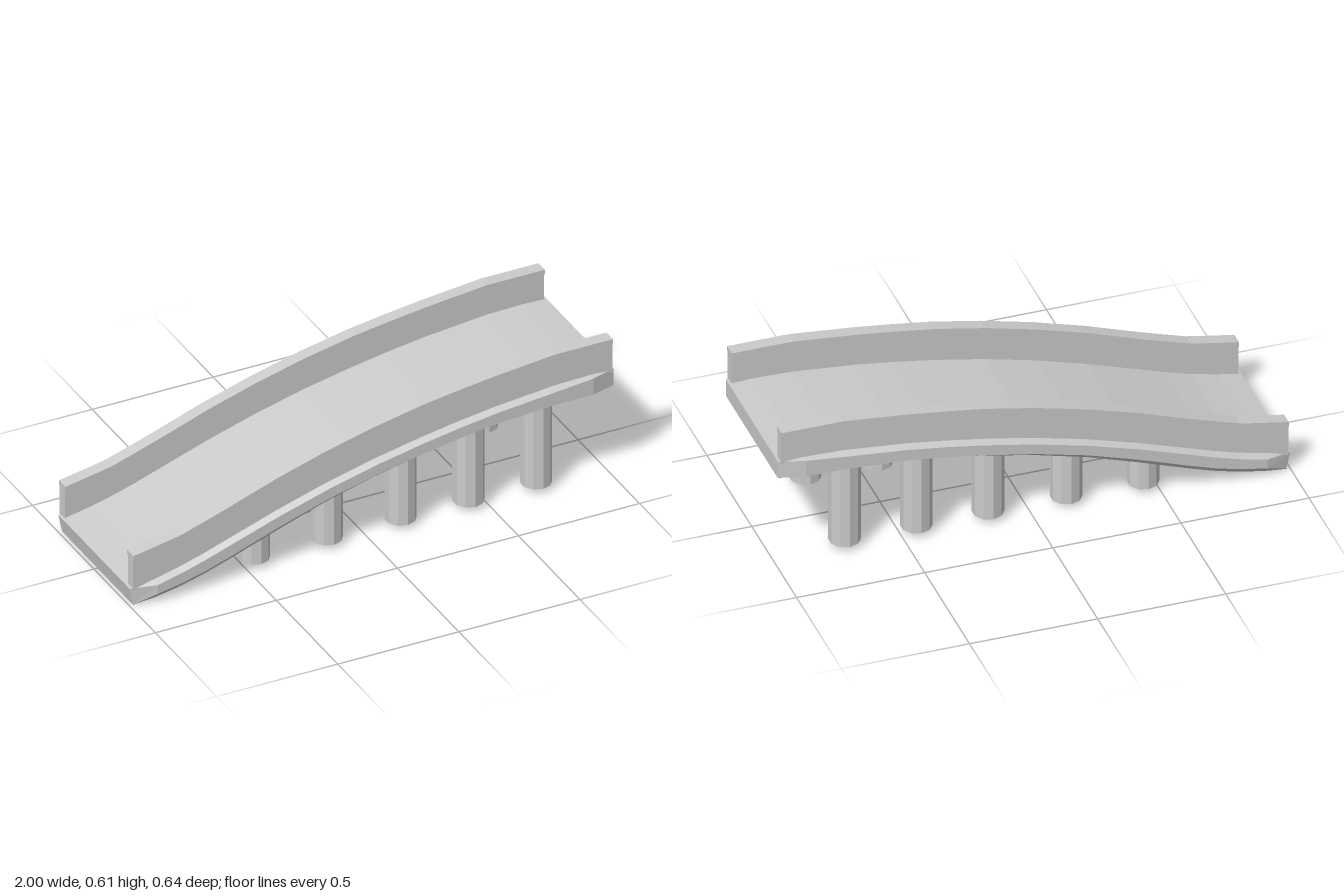
import * as THREE from 'three';

// Stations along the ramp: x, underside y, road y, rail top y
const STATIONS = [
  [-1, 0, 0.075, 0.22], [-0.9, 0.02, 0.094, 0.236], [-0.8, 0.038, 0.118, 0.255], [-0.7, 0.064, 0.148, 0.287],
  [-0.6, 0.097, 0.182, 0.32], [-0.4, 0.168, 0.25, 0.39], [-0.2, 0.235, 0.31, 0.45],
  [0, 0.288, 0.36, 0.5], [0.2, 0.33, 0.4, 0.54], [0.35, 0.357, 0.425, 0.562],
  [0.5, 0.379, 0.446, 0.581], [0.75, 0.397, 0.47, 0.606], [0.9, 0.397, 0.474, 0.606],
  [1, 0.397, 0.47, 0.606],
];

const material = new THREE.MeshStandardMaterial({ color: 0xcccccc, flatShading: true });

function addMesh(group, geometry, name) {
  const mesh = new THREE.Mesh(geometry, material);
  mesh.name = name;
  group.add(mesh);
  return mesh;
}

// Skin over closed cross-sections [x, y, z], ordered from +y towards +z
function loft(sections) {
  const n = sections[0].length;
  const index = [];
  for (let s = 0; s < sections.length - 1; s++) {
    for (let i = 0; i < n; i++) {
      const a = s * n + i, b = s * n + (i + 1) % n;
      index.push(a, b, a + n, b, b + n, a + n);
    }
  }
  const last = (sections.length - 1) * n;
  for (let i = 1; i < n - 1; i++) {
    index.push(0, i + 1, i, last, last + i, last + i + 1);
  }
  const geometry = new THREE.BufferGeometry();
  geometry.setAttribute('position', new THREE.Float32BufferAttribute(sections.flat(2), 3));
  geometry.setIndex(index);
  const flat = geometry.toNonIndexed();
  flat.computeVertexNormals();
  return flat;
}

// Road slab with bevelled long edges and clipped corners
function deckGeometry() {
  return loft(STATIONS.map(([x, bottom, top], i) => {
    const end = i === 0 || i === STATIONS.length - 1;
    const outer = end ? 0.29 : 0.321;
    const inner = end ? 0.285 : 0.3;
    const drop = end ? 0.001 : x > 0.8 ? 0.004 : 0.015;
    const lift = end ? 0.001 : 0.003 + 0.018 * Math.min(1, Math.max(0, (0.7 - x) / 1.1));
    const foot = end ? 0.289 : 0.305;
    const bottomX = i === 0 ? -0.985 : x;
    return [
      [x, top, -inner], [x, top, inner],
      [x, top - drop, outer], [bottomX, bottom + lift, outer],
      [bottomX, bottom, foot], [bottomX, bottom, -foot],
      [bottomX, bottom + lift, -outer], [x, top - drop, -outer],
    ];
  }));
}

// Strip following the ramp between two heights and two depths
function stripGeometry(lower, upper, z0, z1) {
  return loft(STATIONS.map((s) => {
    const x = THREE.MathUtils.clamp(s[0], -0.99, 0.99);
    return [[x, upper(s), z0], [x, upper(s), z1], [x, lower(s), z1], [x, lower(s), z0]];
  }));
}

// Underside height at any x
function undersideAt(x) {
  const i = STATIONS.findIndex((s) => s[0] >= x);
  const a = STATIONS[i - 1], b = STATIONS[i];
  return THREE.MathUtils.mapLinear(x, a[0], b[0], a[1], b[1]);
}

export function createModel() {
  const model = new THREE.Group();
  model.name = 'rampBridge';
  addMesh(model, deckGeometry(), 'deck');

  for (const side of [1, -1]) {
    const label = side > 0 ? 'front' : 'back';
    const sink = side > 0 ? 0 : 0.005;

    // Parapet wall with a slightly wider cap
    const rail = new THREE.Group();
    rail.name = label + 'Rail';
    const z = side * 0.277;
    addMesh(rail, stripGeometry((s) => s[2] - 0.01, (s) => s[3] - 0.018 - sink, z - 0.021, z + 0.021), 'railWall');
    addMesh(rail, stripGeometry((s) => s[3] - 0.021 - sink, (s) => s[3] - sink, z - 0.026, z + 0.026), 'railCap');
    model.add(rail);

    // Row of supporting pillars, sunk a little into the deck
    const pillars = new THREE.Group();
    pillars.name = label + 'Pillars';
    for (const x of [-0.45, -0.15, 0.155, 0.435, 0.715]) {
      const base = 0.022;
      const height = undersideAt(x) + 0.025 - base;
      const pillar = addMesh(pillars, new THREE.CylinderGeometry(0.06, 0.06, height, 10), 'pillar');
      pillar.position.set(x, base + height / 2, side * 0.22);
    }
    model.add(pillars);
  }
  return model;
}
